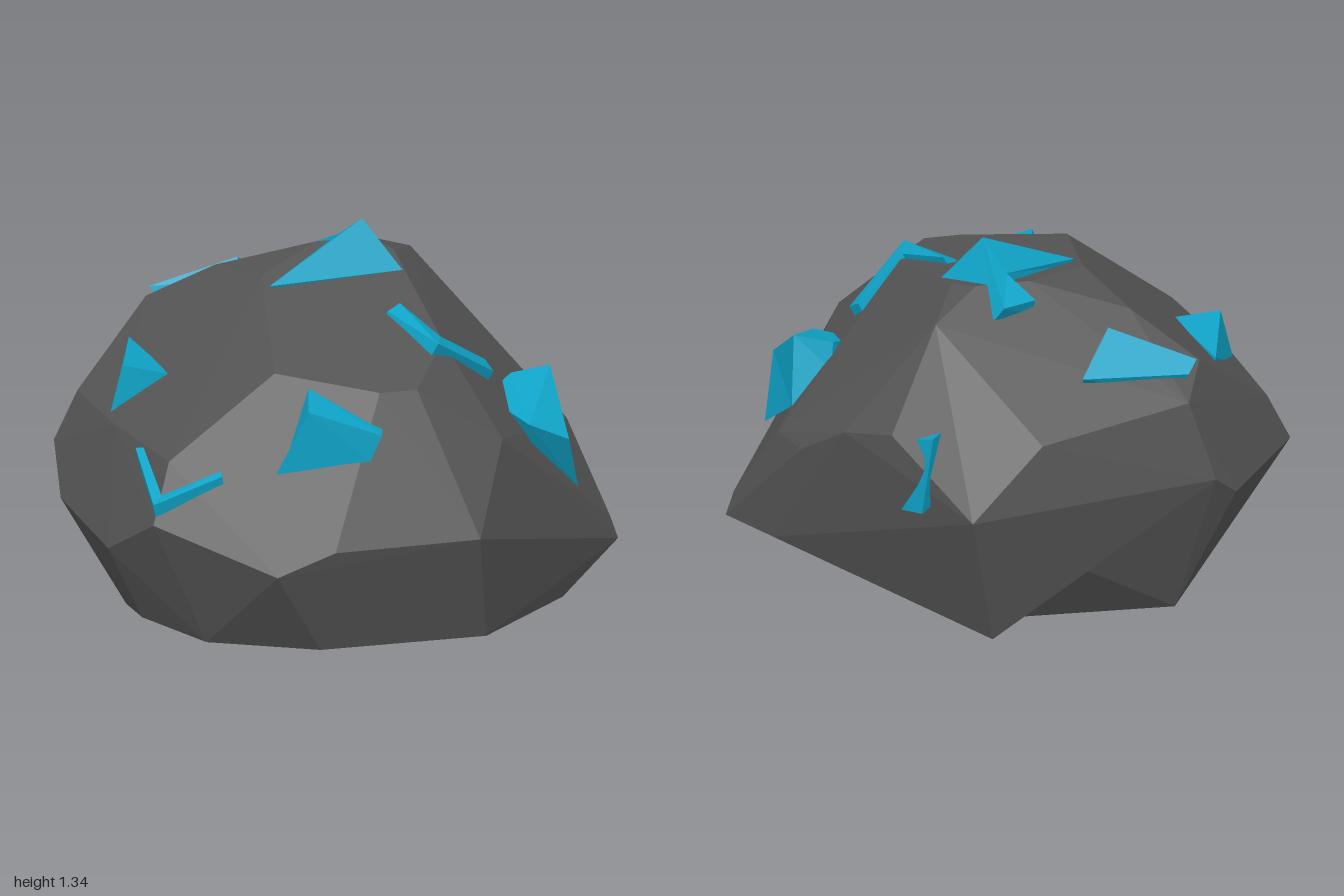
import * as THREE from 'three';
import { ConvexGeometry } from 'three/addons/geometries/ConvexGeometry.js';

const V = (p) => new THREE.Vector3(...p);
const shift = (pts, d) => pts.map((p) => p.map((c, i) => c + d[i]));

// Faceted prism between an outer outline and a matching, mostly buried, inner one
function shardGeometry(outer, inner) {
  let top = outer.map(V), base = inner.map(V);
  const normal = new THREE.Vector3(), out = new THREE.Vector3();
  top.forEach((p, i) => {
    normal.add(p.clone().cross(top[(i + 1) % top.length]));
    out.add(p).sub(base[i]);
  });
  normal.normalize();
  if (normal.dot(out) < 0) {
    normal.negate();
    top.reverse();
    base.reverse();
  }
  const u = top[1].clone().sub(top[0]);
  u.addScaledVector(normal, -u.dot(normal)).normalize();
  const w = normal.clone().cross(u);
  const flat = top.map((p) => new THREE.Vector2(p.dot(u), p.dot(w)));
  const tris = [];
  for (const [a, b, c] of THREE.ShapeUtils.triangulateShape(flat, [])) {
    tris.push(top[a], top[b], top[c], base[a], base[c], base[b]);
  }
  top.forEach((p, i) => {
    const j = (i + 1) % top.length;
    tris.push(p, base[i], base[j], p, base[j], top[j]);
  });
  const g = new THREE.BufferGeometry().setFromPoints(tris);
  g.computeVertexNormals();
  return g;
}

export function createModel() {
  const model = new THREE.Group();
  const rockMat = new THREE.MeshStandardMaterial({ color: 0x555555, flatShading: true });
  const crystalMat = new THREE.MeshStandardMaterial({ color: 0x0fa3c7, flatShading: true });
  const add = (name, geometry, material) => {
    const m = new THREE.Mesh(geometry, material);
    m.name = name;
    model.add(m);
  };

  // Boulder: corners of the main faceted body
  const backLow = [0.2, 0.01, -0.58], backRight = [0.36, 0.53, -0.91];
  const backLeft = [-0.58, 0.57, -0.81], sideLow = [0.88, 0.17, 0];
  const footFront = [0.75, 0.04, 0.4];
  const corners = [
    // underside
    backLow, footFront, [0.38, 0.05, 0.75], [-0.24, 0.05, 0.75], [-0.62, 0.04, 0.55],
    [-0.8, 0.06, 0.3], [-0.8, 0.02, 0.05], [-0.47, 0.01, -0.63],
    // widest band
    [1, 0.18, 0.22], [0.97, 0.27, 0.22], sideLow, [0.32, 0.49, 0.91], [-0.22, 0.48, 0.9],
    [-0.43, 0.39, 0.87], [-0.83, 0.53, 0.6], [-0.94, 0.36, 0.35], [-1, 0.38, -0.14],
    [-0.97, 0.52, -0.37], [-0.67, 0.49, -0.75], backLeft, backRight,
    // shoulders
    [0.86, 0.58, 0], [0.82, 0.58, -0.18], [0.71, 0.72, -0.39], [0.58, 0.77, -0.58],
    [0.08, 0.78, -0.84], [-0.49, 0.86, -0.76], [-0.57, 0.96, -0.6], [-0.88, 0.7, -0.38],
    [-0.84, 0.72, 0.05], [-0.75, 0.74, 0.51], [0.46, 0.78, 0.67],
    // crown
    [0.14, 1, 0.67], [0, 1, 0.67], [-0.35, 1.04, 0.49], [0.31, 1.06, 0.36], [-0.25, 1.18, -0.14],
    [0, 1.22, -0.33], [0.2, 1.22, -0.33], [0.27, 1.2, -0.24], [0.38, 1.13, -0.44],
    [-0.35, 1.12, -0.44],
  ];
  add('boulder', new ConvexGeometry(corners.map(V)), rockMat);

  // Jutting lower corner at the back
  const spur = [[0.25, 0.01, -0.77], backLow, backRight, backLeft, sideLow, footFront];
  add('boulderBackSpur', new ConvexGeometry(spur.map(V)), rockMat);

  // Crystals: outer outline, then inner outline
  const frontHook = [
    [0.15, 1.12, 0.17], [0.2, 1.14, 0.15], [0.3, 1.08, 0.36],
    [0.49, 0.94, 0.27], [0.51, 0.91, 0.32], [0.27, 1.09, 0.46],
  ];
  const sideHook = [
    [-0.83, 0.73, 0.32], [-0.8, 0.73, 0.32], [-0.79, 0.63, 0.56],
    [-0.58, 0.72, 0.6], [-0.58, 0.71, 0.63], [-0.83, 0.61, 0.6],
  ];
  const backChip = [
    [0.46, 0.8, -0.72], [0.5, 0.77, -0.64], [0.55, 0.48, -0.59], [0.52, 0.54, -0.79],
  ];
  const crystals = {
    crownCrystal: [
      [[-0.24, 1.17, -0.05], [0.14, 1.35, -0.19], [0.13, 1.18, -0.47], [0, 1.18, -0.42], [0.08, 1.25, -0.31]],
      [[-0.22, 1.15, -0.06], [0.27, 1.17, -0.1], [0.16, 1.13, -0.45], [0.01, 1.12, -0.4], [0.06, 1.12, -0.3]],
    ],
    frontCrystal: [
      [[-0.39, 0.72, 0.68], [-0.28, 0.97, 0.73], [-0.02, 0.88, 0.79], [-0.06, 0.78, 0.78]],
      [[-0.36, 0.72, 0.62], [-0.24, 1, 0.56], [0, 0.88, 0.72], [-0.05, 0.76, 0.7]],
    ],
    leftCrystal: [
      [[0.49, 0.8, 0.28], [0.61, 0.84, 0.17], [0.75, 0.87, 0.2], [0.75, 0.69, 0.5], [0.6, 0.76, 0.5]],
      [[0.5, 0.74, 0.28], [0.62, 0.74, 0.15], [0.78, 0.63, 0.11], [0.81, 0.46, 0.39], [0.62, 0.67, 0.45]],
    ],
    frontHookCrystal: [frontHook, shift(frontHook, [-0.05, -0.1, -0.02])],
    rightCrystal: [
      [[-0.79, 0.91, -0.05], [-0.68, 0.88, -0.41], [-0.62, 0.88, 0]],
      [[-0.84, 0.7, -0.06], [-0.67, 0.82, -0.4], [-0.62, 0.82, 0]],
    ],
    rightHookCrystal: [sideHook, shift(sideHook, [0.01, -0.05, -0.01])],
    backCrystal: [
      [[-0.51, 0.94, -0.68], [-0.11, 0.96, -0.68], [-0.24, 1.1, -0.55], [-0.55, 0.98, -0.64]],
      [[-0.48, 0.86, -0.64], [-0.13, 0.9, -0.63], [-0.24, 1.03, -0.5], [-0.51, 0.92, -0.6]],
    ],
    backLeftCrystal: [backChip, shift(backChip, [-0.08, 0, 0.1])],
  };
  for (const [name, [outer, inner]] of Object.entries(crystals)) {
    add(name, shardGeometry(outer, inner), crystalMat);
  }
  return model;
}
